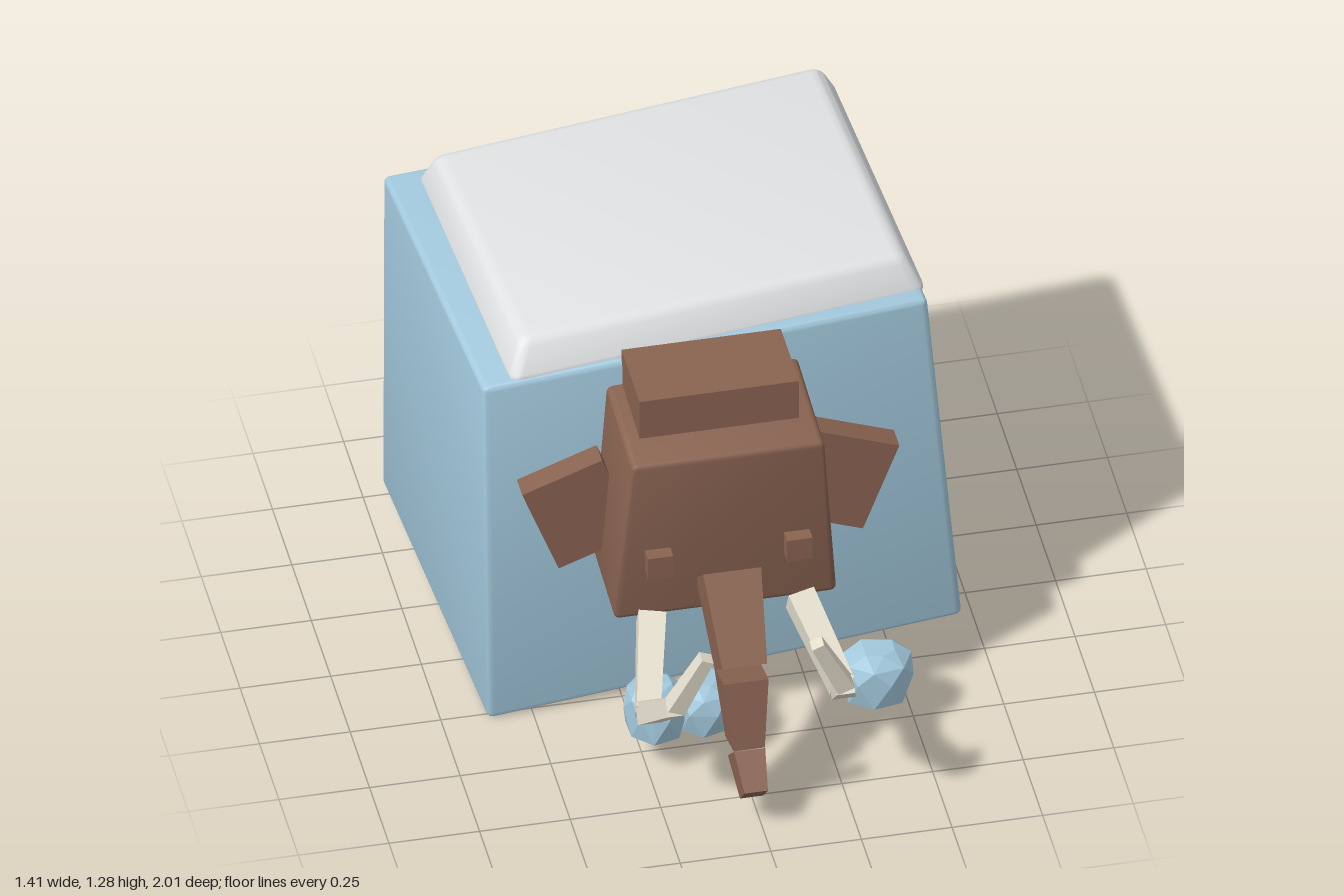
import * as THREE from 'three';
import { toCreasedNormals } from 'three/addons/utils/BufferGeometryUtils.js';
import { RoundedBoxGeometry } from 'three/addons/geometries/RoundedBoxGeometry.js';
import { ConvexGeometry } from 'three/addons/geometries/ConvexGeometry.js';

const V = (x, y, z) => new THREE.Vector3(x, y, z);
const MID = -0.022; // symmetry plane of the animal

// Box stretched onto 8 corners: bottom then top, each front -x, front +x, back +x, back -x
function warpedBox(corners, bevel = 0, size = [1, 1, 1], crease = 0.5) {
  const geo = bevel
    ? new RoundedBoxGeometry(...size, 2, bevel)
    : new THREE.BoxGeometry(...size).toNonIndexed();
  const c = corners.map((p) => (p.isVector3 ? p : V(...p)));
  const pos = geo.attributes.position;
  for (let i = 0; i < pos.count; i++) {
    const u = pos.getX(i) / size[0] + 0.5;
    const v = pos.getY(i) / size[1] + 0.5;
    const w = 0.5 - pos.getZ(i) / size[2];
    const level = (k) => c[k].clone().lerp(c[k + 1], u).lerp(c[k + 3].clone().lerp(c[k + 2], u), w);
    const p = level(0).lerp(level(4), v);
    pos.setXYZ(i, p.x, p.y, p.z);
  }
  geo.computeVertexNormals();
  return toCreasedNormals(geo, crease);
}

// Tapered square bar from a to b
function bar(a, b, w0, t0, w1, t1) {
  const dir = b.clone().sub(a).normalize();
  const side = V(1, 0, 0).addScaledVector(dir, -dir.x).normalize();
  const out = side.clone().cross(dir);
  const ring = (p, w, t) => [[-1, 1], [1, 1], [1, -1], [-1, -1]].map(([s, o]) =>
    p.clone().addScaledVector(side, s * w / 2).addScaledVector(out, o * t / 2));
  return warpedBox([...ring(a, w0, t0), ...ring(b, w1, t1)]);
}

// Faceted lump with a flat base
function lump(rx, h, rz, seed) {
  let s = seed;
  const rnd = () => (s = (s * 16807) % 2147483647) / 2147483647;
  const pts = [];
  [[0, 0.9], [0.5, 1], [0.78, 0.9], [1, 0.5]].forEach(([y, r], j) => {
    for (let i = 0; i < 7; i++) {
      const a = (i + (j % 2) * 0.5) / 7 * Math.PI * 2;
      const k = r * (0.92 + rnd() * 0.14);
      const top = j === 3 ? rnd() * 0.08 : 0;
      pts.push(V(Math.cos(a) * rx * k, (y - top) * h, Math.sin(a) * rz * k));
    }
  });
  return new ConvexGeometry(pts);
}

export function createModel() {
  const model = new THREE.Group();
  const material = (name, color) => {
    const m = new THREE.MeshStandardMaterial({ color });
    m.name = name;
    return m;
  };
  const ice = material('ice blue', 0xa2c8dc);
  const snow = material('snow grey', 0xdfe1e3);
  const brown = material('brown hide', 0x896351);
  const ivory = material('ivory', 0xe2dccb);
  const add = (name, geo, mat, x = 0, y = 0, z = 0) => {
    const mesh = new THREE.Mesh(geo, mat);
    mesh.name = name;
    mesh.position.set(x, y, z);
    model.add(mesh);
    return mesh;
  };

  // Crooked ice block and its snow cap
  add('iceBlock', warpedBox([
    [-0.625, 0, 0.275], [0.705, 0.07, 0.18], [0.635, 0.11, -0.85], [-0.695, 0.035, -0.765],
    [-0.63, 1.1, 0.235], [0.61, 1.16, 0.175], [0.55, 1.18, -0.775], [-0.705, 1.13, -0.705],
  ], 0.015), ice);
  add('snowCap', warpedBox([
    [-0.56, 1.09, 0.235], [0.625, 1.14, 0.135], [0.56, 1.17, -0.785], [-0.62, 1.11, -0.695],
    [-0.51, 1.2, 0.165], [0.565, 1.255, 0.085], [0.505, 1.285, -0.74], [-0.575, 1.225, -0.65],
  ], 0.03, [1, 0.14, 1], 1), snow);

  // Head, flaring toward the jaw, with a block of hair
  add('head', warpedBox([
    [-0.33, 0.48, 0.52], [0.285, 0.48, 0.52], [0.285, 0.51, 0.2], [-0.33, 0.51, 0.2],
    [-0.285, 1.015, 0.55], [0.245, 1.015, 0.55], [0.245, 1.045, 0.2], [-0.285, 1.045, 0.2],
  ], 0.03), brown);
  add('hairTuft', new THREE.BoxGeometry(0.44, 0.15, 0.235), brown, MID, 1.075, 0.322);

  // Ears, eyes and tusks on both sides
  for (const s of [1, -1]) {
    const side = s > 0 ? 'left' : 'right';
    const ear = add(side + 'Ear', new THREE.BoxGeometry(0.235, 0.285, 0.07), brown, MID + s * 0.36, 0.705, 0.295);
    ear.rotation.z = -s * 0.36;
    add(side + 'Eye', new THREE.BoxGeometry(0.07, 0.07, 0.04), brown, MID + s * 0.192, 0.685, 0.56);

    const path = [[0.205, 0.475, 0.52], [0.268, 0.35, 0.77], [0.235, 0.505, 0.96], [0.152, 0.68, 0.985]]
      .map(([x, y, z]) => V(MID + s * x, y, z));
    const thick = [0.075, 0.065, 0.05, 0.036];
    for (let i = 0; i < 3; i++) {
      const [t0, t1] = [thick[i], thick[i + 1]];
      add(side + 'Tusk' + (i + 1), bar(path[i], path[i + 1], t0, t0, t1, t1), ivory);
    }
  }

  // Trunk segments: [z, y] of upper front, upper back, lower back, lower front, then half widths
  [
    [[0.605, 0.663], [0.51, 0.58], [0.67, 0.385], [0.768, 0.46], 0.08, 0.062],
    [[0.785, 0.42], [0.66, 0.39], [0.716, 0.19], [0.825, 0.22], 0.062, 0.043],
    [[0.83, 0.222], [0.75, 0.15], [0.855, 0.08], [0.917, 0.144], 0.043, 0.032],
  ].forEach(([uf, ub, lb, lf, wu, wl], i) => {
    const row = (f, b, w) => [[-w, f], [w, f], [w, b], [-w, b]].map(([x, p]) => V(MID + x, p[1], p[0]));
    add('trunk' + (i + 1), warpedBox([...row(lf, lb, wl), ...row(uf, ub, wu)]), brown);
  });

  // Tail
  add('tail', bar(V(MID, 0.355, -0.983), V(MID, 0.56, -0.805), 0.055, 0.052, 0.055, 0.06), brown);

  // Loose ice lumps in front of the block
  [
    [0.395, 0.51, 0.108, 0.092, 11],
    [-0.22, 0.53, 0.092, 0.095, 29],
    [-0.085, 0.53, 0.085, 0.095, 47],
  ].forEach(([x, z, rx, rz, seed], i) =>
    add('iceLump' + (i + 1), lump(rx, 0.155, rz, seed), ice, x, 0.11, z));

  return model;
}
